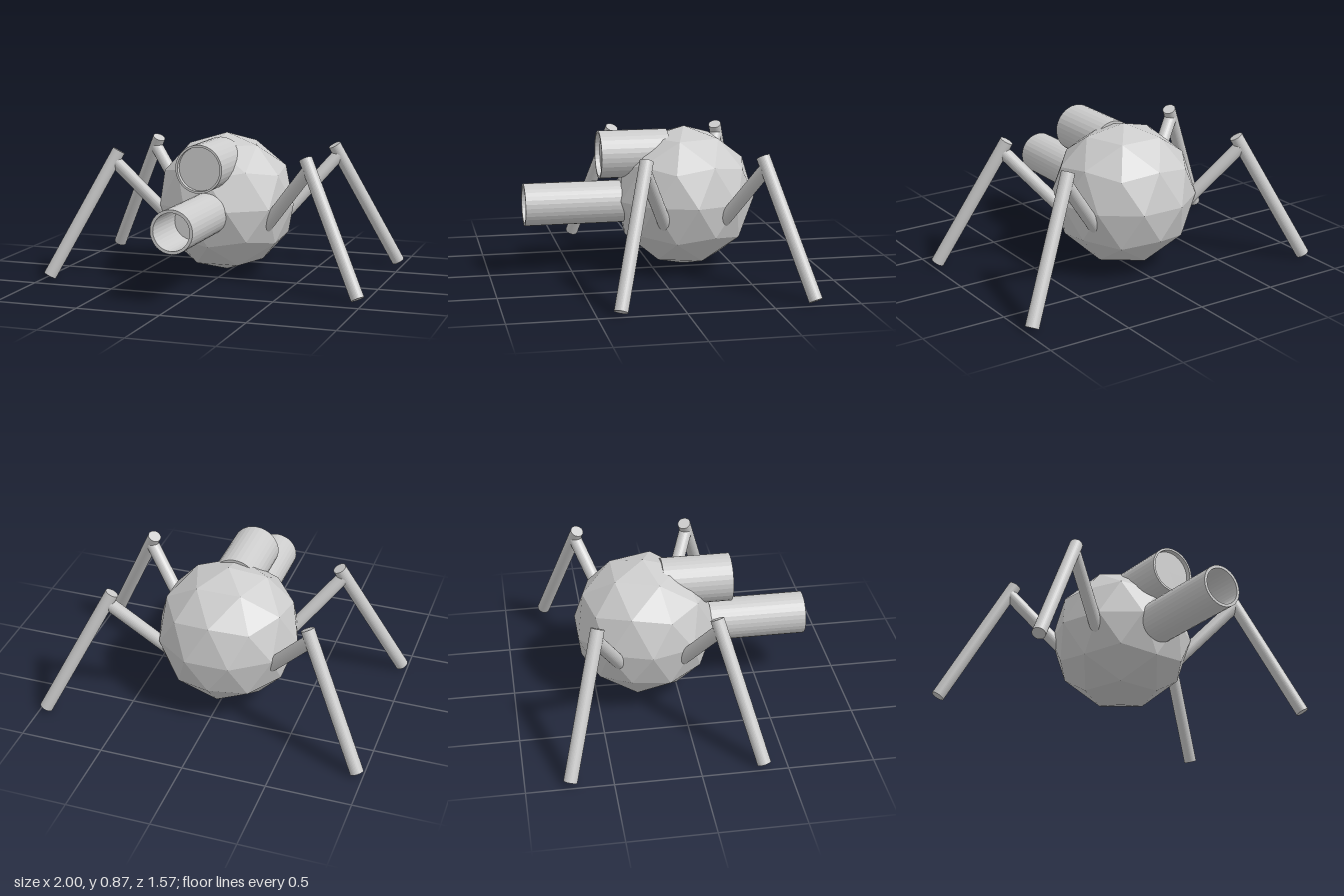
import * as THREE from 'three';

const material = new THREE.MeshStandardMaterial({ color: 0xcccccc, flatShading: true });
const CENTER_Z = -0.19;

function part(name, geometry) {
  const mesh = new THREE.Mesh(geometry, material);
  mesh.name = name;
  return mesh;
}

// Forward-facing cylinder with a round recess in its front end
function barrel(name, y, radius, bore, back, front, depth) {
  const profile = [
    [0, back], [radius, back], [radius, front],
    [bore, front], [bore, front - depth], [0, front - depth],
  ].map(([r, z]) => new THREE.Vector2(r, z));
  const mesh = part(name, new THREE.LatheGeometry(profile, 32).rotateX(Math.PI / 2));
  mesh.position.set(-0.01, y, 0);
  return mesh;
}

// Straight round rod between two points
function rod(name, from, to, radius) {
  const dir = to.clone().sub(from);
  const mesh = part(name, new THREE.CylinderGeometry(radius, radius, dir.length(), 32));
  mesh.position.copy(from).add(to).multiplyScalar(0.5);
  mesh.quaternion.setFromUnitVectors(new THREE.Vector3(0, 1, 0), dir.normalize());
  return mesh;
}

export function createModel() {
  const model = new THREE.Group();
  model.name = 'walkerTurret';

  // Faceted body, turned so that one vertex points straight up
  const tilt = Math.atan((1 + Math.sqrt(5)) / 2);
  const body = part('body', new THREE.IcosahedronGeometry(0.43, 1).rotateX(-tilt));
  body.position.set(-0.01, 0.445, -0.195);
  model.add(body);

  // Long hollow gun and the shorter, wider eye above it
  model.add(barrel('gunBarrel', 0.425, 0.128, 0.11, -0.1, 0.785, 0.35));
  model.add(barrel('eye', 0.715, 0.144, 0.131, -0.085, 0.33, 0.03));

  // Four jointed legs, mirrored left/right and front/back
  for (const sx of [1, -1]) {
    for (const sz of [1, -1]) {
      const p = (x, y, z) => new THREE.Vector3(sx * x, y, CENTER_Z + sz * z);
      const leg = new THREE.Group();
      leg.name = (sz > 0 ? 'front' : 'back') + (sx > 0 ? 'Left' : 'Right') + 'Leg';
      leg.add(rod('upperLeg', p(0.24, 0.265, 0.138), p(0.61, 0.715, 0.352), 0.04));
      leg.add(rod('lowerLeg', p(0.588, 0.78, 0.339), p(0.963, 0.02, 0.555), 0.04));
      model.add(leg);
    }
  }
  return model;
}
